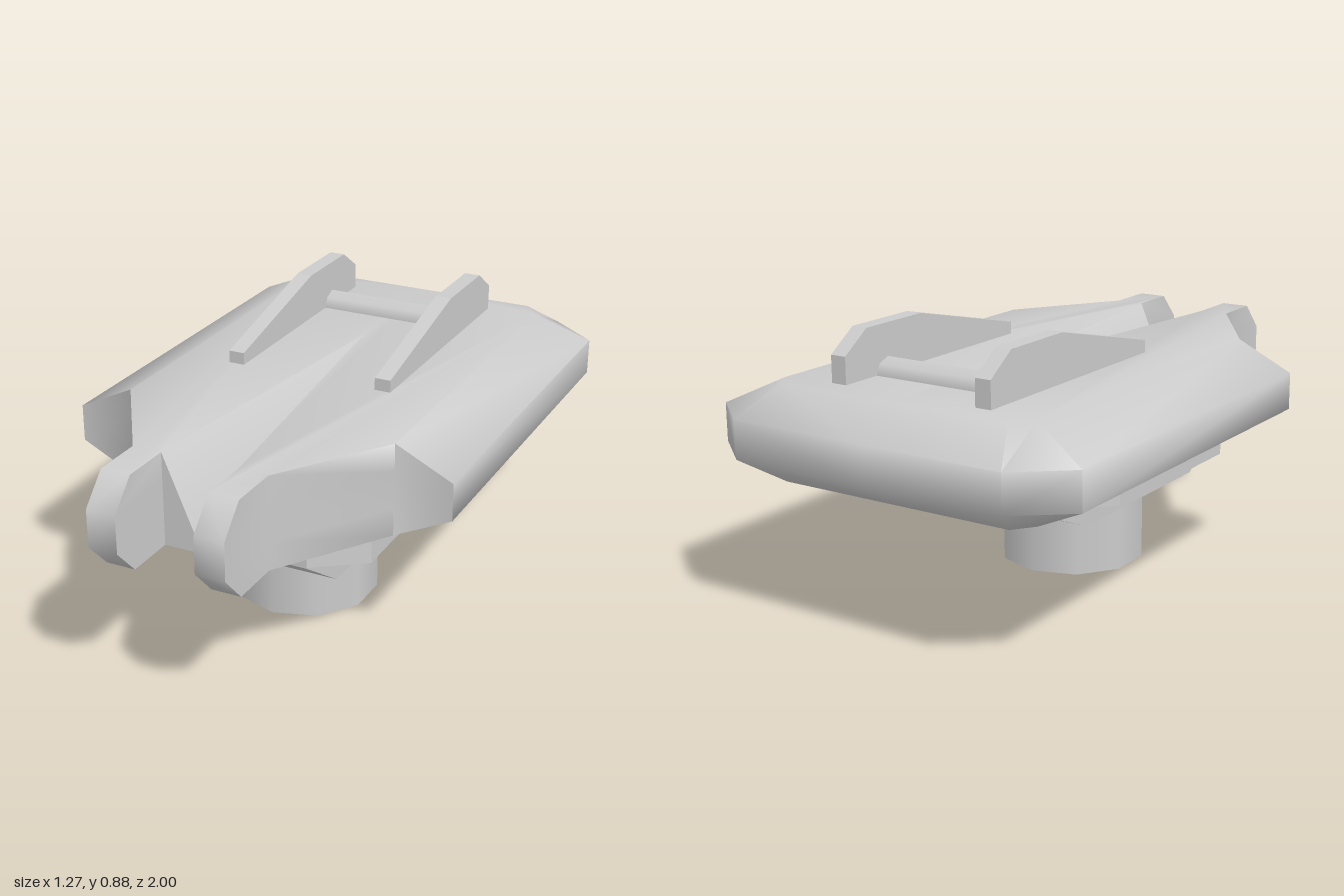
import * as THREE from 'three';
import { toCreasedNormals } from 'three/addons/utils/BufferGeometryUtils.js';
import { ConvexGeometry } from 'three/addons/geometries/ConvexGeometry.js';

const grey = new THREE.MeshStandardMaterial({ color: 0xcccccc });
const greyOpen = new THREE.MeshStandardMaterial({ color: 0xcccccc, side: THREE.DoubleSide });

function addMesh(group, name, geometry, material = grey) {
  const mesh = new THREE.Mesh(geometry, material);
  mesh.name = name;
  group.add(mesh);
  return mesh;
}

// Side profile in (z, y), extruded across x and centred on x
function sideProfile(points, width, x = 0) {
  const shape = new THREE.Shape(points.map(([z, y]) => new THREE.Vector2(z, y)));
  const g = new THREE.ExtrudeGeometry(shape, { depth: width, bevelEnabled: false });
  g.rotateY(-Math.PI / 2);
  g.translate(x + width / 2, 0, 0);
  return g;
}

// Bevelled slab with two front prongs and a V groove; one half is built and mirrored
function hullGeometry() {
  // half outlines (x, z) from rear centre round to front centre
  const wide = [[0, -1], [0.47, -1], [0.635, -0.865], [0.635, 0.4], [0.45, 0.4],
    [0.22, 0.75], [0.22, 1], [0.125, 1], [0.125, 0.75], [0, 0.75]];
  const inset = [[0, -0.865], [0.4, -0.865], [0.45, -0.8], [0.45, 0.4], [0.45, 0.4],
    [0.22, 0.75], [0.22, 0.915], [0.125, 0.915], [0.125, 0.75], [0, 0.75]];
  const grooveFloor = 0.43, grooveStart = -0.35, top = 0.725, bottom = 0.425;
  const levels = [[inset, bottom], [wide, 0.515], [wide, 0.635], [inset, top]];
  const rings = levels.map(([loop, y]) => loop.map(([x, z], i) =>
    new THREE.Vector3(x, i === loop.length - 1 ? Math.min(y, grooveFloor) : y, z)));

  const positions = [];
  const tri = (a, b, c) => {
    const area = b.clone().sub(a).cross(c.clone().sub(a)).length();
    if (area < 1e-6) return;
    for (const p of [a, b, c]) positions.push(p.x, p.y, p.z);
    for (const p of [a, c, b]) positions.push(-p.x, p.y, p.z);
  };
  // flat cap facing up (sign 1) or down (sign -1)
  const cap = (points, sign) => {
    const flat = points.map((p) => new THREE.Vector2(p.x, p.z));
    for (const [i, j, k] of THREE.ShapeUtils.triangulateShape(flat, [])) {
      const [a, b, c] = [points[i], points[j], points[k]];
      const ny = b.clone().sub(a).cross(c.clone().sub(a)).y;
      if (ny * sign > 0) tri(a, b, c); else tri(a, c, b);
    }
  };

  // bevelled sides
  for (let l = 0; l < 3; l++) {
    for (let i = 0; i < wide.length - 1; i++) {
      const [a, b, c, d] = [rings[l][i], rings[l + 1][i], rings[l + 1][i + 1], rings[l][i + 1]];
      tri(a, b, c);
      tri(a, c, d);
    }
  }
  // caps, without the doubled corner point
  const single = (ring) => ring.filter((p, i) => i !== 4);
  cap(single(rings[0]), -1);
  const apex = new THREE.Vector3(0, top, grooveStart);
  cap([...single(rings[3]).slice(0, -1), apex], 1);
  // groove wall
  cap([rings[3][8], rings[3][9], apex], 1);

  const g = new THREE.BufferGeometry();
  g.setAttribute('position', new THREE.Float32BufferAttribute(positions, 3));
  return toCreasedNormals(g, 1.2);
}

export function createModel() {
  const model = new THREE.Group();
  model.name = 'turret';

  addMesh(model, 'hull', hullGeometry());

  // Mount: narrow keel with wider tapered shoulders
  addMesh(model, 'mountKeel', sideProfile([[0.615, 0.43], [0.615, 0.375], [0.41, 0.235],
    [-0.26, 0.235], [-0.585, 0.37], [-0.585, 0.43]], 0.54));
  const shoulder = [];
  for (const s of [-1, 1]) {
    for (const [x, y, z] of [[0.385, 0.32, 0.41], [0.385, 0.32, -0.25], [0.27, 0.32, 0.41],
      [0.27, 0.32, -0.25], [0.27, 0.375, 0.61], [0.27, 0.37, -0.58], [0.385, 0.43, 0.41],
      [0.385, 0.43, -0.25], [0.27, 0.43, 0.61], [0.27, 0.43, -0.58]]) {
      shoulder.push(new THREE.Vector3(s * x, y, z));
    }
  }
  addMesh(model, 'mountShoulders', new ConvexGeometry(shoulder));

  // Open ten-sided pedestal
  const pedestal = new THREE.CylinderGeometry(0.24, 0.24, 0.235, 10, 1, true);
  addMesh(model, 'pedestal', pedestal, greyOpen).position.set(0, 0.1175, 0.085);

  // Fins and the bar between them
  const fin = [[0.065, 0.71], [0.065, 0.765], [-0.42, 0.878], [-0.68, 0.878],
    [-0.78, 0.81], [-0.78, 0.71]];
  for (const [name, s] of [['leftFin', 1], ['rightFin', -1]]) {
    addMesh(model, name, sideProfile(fin, 0.053, s * 0.258));
  }
  const bar = new THREE.CylinderGeometry(0.056, 0.056, 0.48, 8);
  bar.rotateZ(Math.PI / 2);
  addMesh(model, 'crossBar', bar).position.set(0, 0.719, -0.585);

  return model;
}
